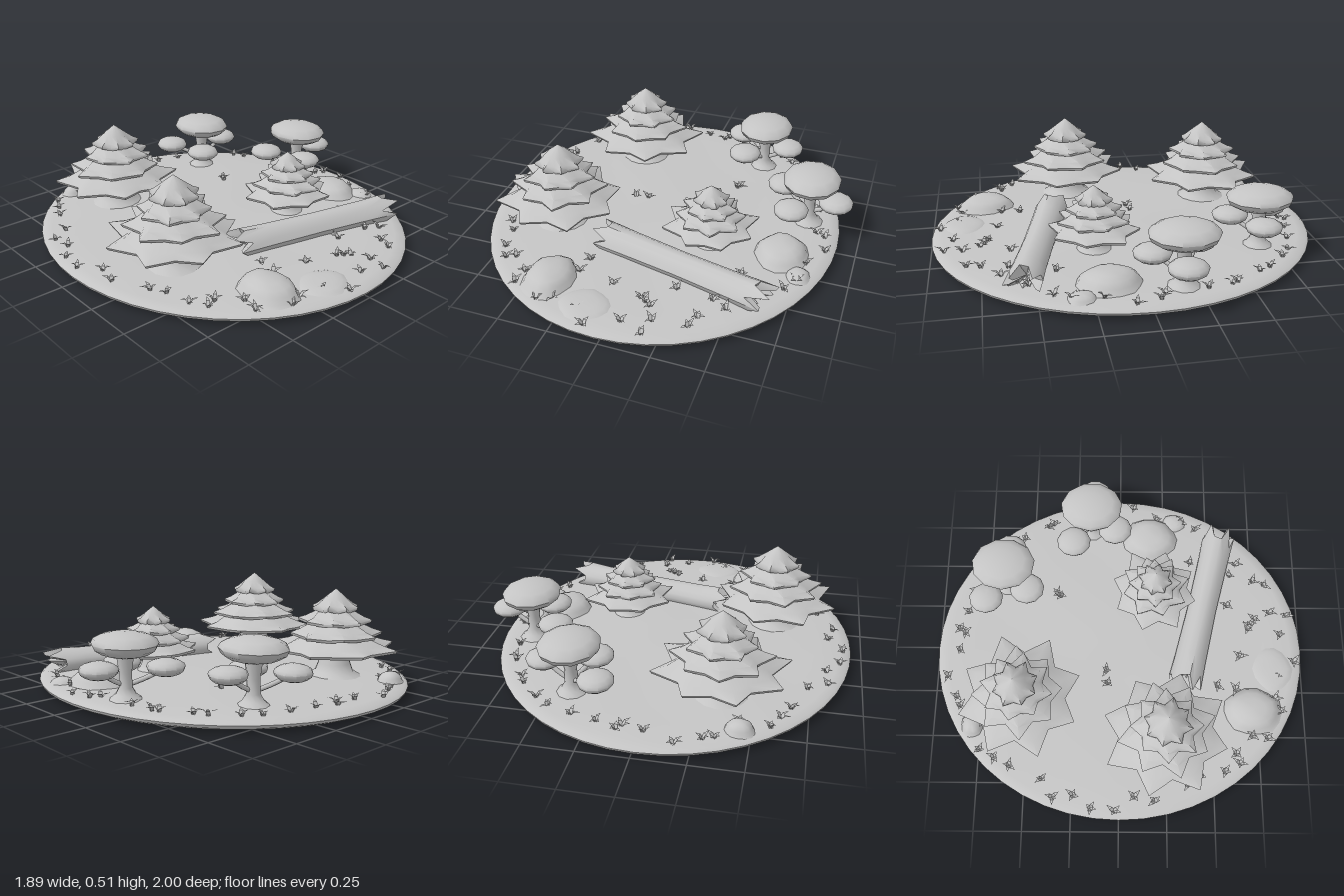
import * as THREE from 'three';
import { toCreasedNormals } from 'three/addons/utils/BufferGeometryUtils.js';

// Double sided for the open grass blades
const stone = new THREE.MeshStandardMaterial({ color: 0xc4c4c4, side: THREE.DoubleSide });
stone.name = 'pale grey';

// Seeded random numbers
let seed = 7;
const rand = (a = 0, b = 1) => {
  seed = (seed * 16807) % 2147483647;
  return a + (b - a) * seed / 2147483647;
};

function add(parent, name, geometry, x = 0, y = 0, z = 0) {
  const mesh = new THREE.Mesh(geometry, stone);
  mesh.name = name;
  mesh.position.set(x, y, z);
  parent.add(mesh);
  return mesh;
}

// Joins closed cross-section rings, listed so that the outside faces out
function loft(rings, crease) {
  const n = rings[0].length, index = [];
  for (let r = 0; r < rings.length - 1; r++) {
    for (let i = 0; i < n; i++) {
      const a = r * n + i, b = r * n + (i + 1) % n;
      index.push(a, b, a + n, b, b + n, a + n);
    }
  }
  const g = new THREE.BufferGeometry();
  g.setAttribute('position', new THREE.Float32BufferAttribute(rings.flat(2), 3));
  g.setIndex(index);
  return toCreasedNormals(g, crease);
}

// Height of the gently domed, uneven soil
const soil = (x, z) => 0.05 + 0.02 * (1 - Math.hypot(x, z) ** 2) + 0.004 * Math.sin(7 * x + 1) * Math.cos(6 * z);

// Rounded disc with soft bumps on top
function groundGeometry() {
  const profile = [[0, 0], [0.9, 0], [0.97, 0.01], [0.995, 0.022], [1, 0.035], [0.985, 0.046], [0.94, 0.052],
    [0.8, 0.06], [0.6, 0.06], [0.4, 0.06], [0.2, 0.06], [0, 0.06]];
  const g = new THREE.LatheGeometry(profile.map(p => new THREE.Vector2(...p)), 48);
  const p = g.attributes.position;
  for (let i = 0; i < p.count; i++) {
    const x = p.getX(i), z = p.getZ(i);
    if (p.getY(i) > 0.05) p.setY(i, soil(x, z));
    p.setX(i, x * 0.924);
  }
  return toCreasedNormals(g, 0.9);
}

// One skirt of branches: a pointed cone with a folded, star-shaped hem
function tierGeometry(radius, top, hem, points, twist) {
  const n = points * 2;
  const tips = Array.from({ length: n }, () => rand(0.92, 1.08));
  const ring = (r, y, fold, drop) => tips.map((t, i) => {
    const a = i / n * Math.PI * 2 + twist;
    const k = i % 2 ? 1 - fold : 1 + (t - 1) * fold * 3;
    return [Math.cos(a) * r * k, y - (i % 2 ? drop : 0), Math.sin(a) * r * k];
  });
  const h = top - hem;
  return loft([
    ring(0, top, 0, 0), ring(radius * 0.5, hem + h * 0.5, 0.06, 0),
    ring(radius * 0.78, hem + h * 0.22, 0.17, h * 0.08), ring(radius, hem + 0.008, 0.26, 0.014),
    ring(radius * 0.97, hem - 0.006, 0.26, 0.014), ring(0, hem + h * 0.25, 0, 0),
  ], 1);
}

function conifer(parent, name, x, z, top, size) {
  const tree = new THREE.Group();
  tree.name = name;
  tree.position.set(x, 0, z);
  parent.add(tree);
  const trunk = [[0.15, 0.01], [0.1, 0.04], [0.085, 0.08], [0.07, 0.13], [0.06, 0.18], [0.05, 0.3]];
  add(tree, 'trunk', new THREE.LatheGeometry(
    trunk.map(([r, y]) => new THREE.Vector2(r * size, 0.045 + y * size)), 14));
  // [radius, top, hem] measured down from the treetop
  const tiers = [[0.33, 0.18, 0.305], [0.245, 0.115, 0.235], [0.185, 0.06, 0.165], [0.125, 0, 0.1]];
  tiers.forEach(([r, a, b], i) => add(tree, 'branchTier',
    tierGeometry(r * size, top - a * size, top - b * size, 8, i * 0.25 + x)));
}

// Rounded tree: one large flat crown with three small ones on side branches
function roundTree(parent, name, x, z, crowns) {
  const tree = new THREE.Group();
  tree.name = name;
  tree.position.set(x, 0, z);
  parent.add(tree);
  const crown = (cx, cy, cz, rx, ry, rz) => {
    const g = new THREE.SphereGeometry(1, 11, 8);
    const p = g.attributes.position;
    for (let i = 0; i < p.count; i++) if (p.getY(i) < 0) p.setY(i, p.getY(i) * 1.2);
    g.scale(rx, ry, rz);
    add(tree, 'crown', toCreasedNormals(g, 0.9), cx, cy, cz);
  };
  const trunk = [[0.085, 0.05], [0.05, 0.08], [0.033, 0.11], [0.03, 0.18], [0.045, 0.28]];
  add(tree, 'trunk', new THREE.LatheGeometry(trunk.map(p => new THREE.Vector2(...p)), 10));
  crown(0, 0.315, 0, 0.15, 0.055, 0.17);
  for (const [cx, cy, cz, r] of crowns) {
    crown(cx, cy, cz, r, 0.038, r * 1.05);
    const curve = new THREE.QuadraticBezierCurve3(new THREE.Vector3(0, 0.12, 0),
      new THREE.Vector3(cx * 0.6, 0.15, cz * 0.6), new THREE.Vector3(cx, cy, cz));
    add(tree, 'branch', new THREE.TubeGeometry(curve, 5, 0.012, 6));
  }
}

// Fallen trunk along x with splintered, hollowed ends
function logGeometry() {
  const n = 14;
  const jag = Array.from({ length: n }, (_, i) => (i % 3 === 0 ? 0.05 : -0.03) + rand(-0.02, 0.02));
  const bark = Array.from({ length: n }, () => rand(0.92, 1.08));
  const ring = (x, r, k) => bark.map((b, i) => {
    const a = -i / n * Math.PI * 2;
    return [x + jag[i] * k, Math.sin(a) * r * b * 0.8, Math.cos(a) * r * b];
  });
  return loft([
    ring(-0.38, 0, 0), ring(-0.43, 0.065, -0.8), ring(-0.44, 0.092, -0.8), ring(-0.3, 0.086, 0),
    ring(0, 0.08, 0), ring(0.3, 0.084, 0), ring(0.43, 0.09, 1), ring(0.42, 0.064, 1), ring(0.36, 0, 0),
  ], 0.7);
}

// Mound that flares softly into the soil
function boulder(parent, x, z, rx, top, rz) {
  const base = 0.045;
  const profile = [[1.08, 0], [0.96, 0.18], [0.86, 0.5], [0.68, 0.78], [0.42, 0.95], [0, 1]];
  const g = new THREE.LatheGeometry(profile.map(p => new THREE.Vector2(...p)), 14);
  const p = g.attributes.position;
  for (let i = 0; i < p.count; i++) {
    const k = 1 + 0.05 * Math.sin(p.getX(i) * 5 + x * 9) * Math.cos(p.getZ(i) * 4);
    p.setXYZ(i, p.getX(i) * k * rx, p.getY(i) * k * (top - base), p.getZ(i) * k * rz);
  }
  add(parent, 'boulder', toCreasedNormals(g, 1), x, base, z);
}

// Small tuft of bent blades
function tuftGeometry() {
  const v = [];
  const blades = 4;
  for (let i = 0; i < blades; i++) {
    const a = i / blades * Math.PI * 2 + rand(0, 1), c = Math.cos(a), s = Math.sin(a);
    const w = 0.009, reach = rand(0.025, 0.05), h = rand(0.015, 0.03);
    const l = [-s * w, -0.005, c * w], r = [s * w, -0.005, -c * w];
    const ml = [l[0] + c * reach * 0.4, h * 0.8, l[2] + s * reach * 0.4];
    const mr = [r[0] + c * reach * 0.4, h * 0.8, r[2] + s * reach * 0.4];
    v.push(...l, ...mr, ...r, ...l, ...ml, ...mr, ...ml, c * reach, h, s * reach, ...mr);
  }
  const g = new THREE.BufferGeometry();
  g.setAttribute('position', new THREE.Float32BufferAttribute(v, 3));
  g.computeVertexNormals();
  return g;
}

export function createModel() {
  const model = new THREE.Group();
  model.name = 'forestClearing';
  add(model, 'ground', groundGeometry(), -0.02, 0, 0);

  conifer(model, 'leftConifer', -0.52, 0.24, 0.51, 1);
  conifer(model, 'backConifer', -0.33, -0.52, 0.505, 0.98);
  conifer(model, 'smallConifer', 0.28, 0.19, 0.4, 0.74);

  roundTree(model, 'backRoundTree', 0.37, -0.63,
    [[-0.15, 0.2, -0.1, 0.088], [-0.09, 0.195, 0.12, 0.09], [0.135, 0.215, 0.02, 0.088]]);
  roundTree(model, 'sideRoundTree', 0.72, -0.16,
    [[-0.155, 0.2, -0.1, 0.09], [-0.075, 0.195, 0.13, 0.09], [0.135, 0.21, 0.015, 0.09]]);

  const log = add(model, 'fallenLog', logGeometry(), 0.215, 0.09, 0.455);
  log.rotation.y = -0.24;

  boulder(model, 0.65, 0.17, 0.14, 0.125, 0.16);
  boulder(model, 0.76, 0.31, 0.06, 0.08, 0.07);
  boulder(model, -0.37, 0.71, 0.13, 0.125, 0.16);
  boulder(model, -0.13, 0.83, 0.14, 0.07, 0.12);
  boulder(model, -0.45, -0.78, 0.07, 0.1, 0.06);

  // Grass along the rim, then a few tufts inside
  const tuft = (x, z) => add(model, 'grassTuft', tuftGeometry(), x, soil(x, z), z);
  for (let i = 0; i < 50; i++) {
    const a = i / 50 * Math.PI * 2 + rand(-0.06, 0.06), r = rand(0.86, 0.96);
    tuft(-0.02 + Math.cos(a) * r * 0.92, Math.sin(a) * r);
  }
  const inner = [[0.13, 0.73], [0.1, 0.71], [0.16, 0.75], [-0.06, 0.66], [-0.23, 0.53], [-0.25, 0.63], [0.24, 0.6],
    [-0.22, -0.06], [-0.15, -0.07], [0.3, -0.35], [0.29, -0.33], [0.42, 0.62], [-0.6, 0.62], [0.5, 0.4]];
  for (const [x, z] of inner) tuft(x, z);
  return model;
}
